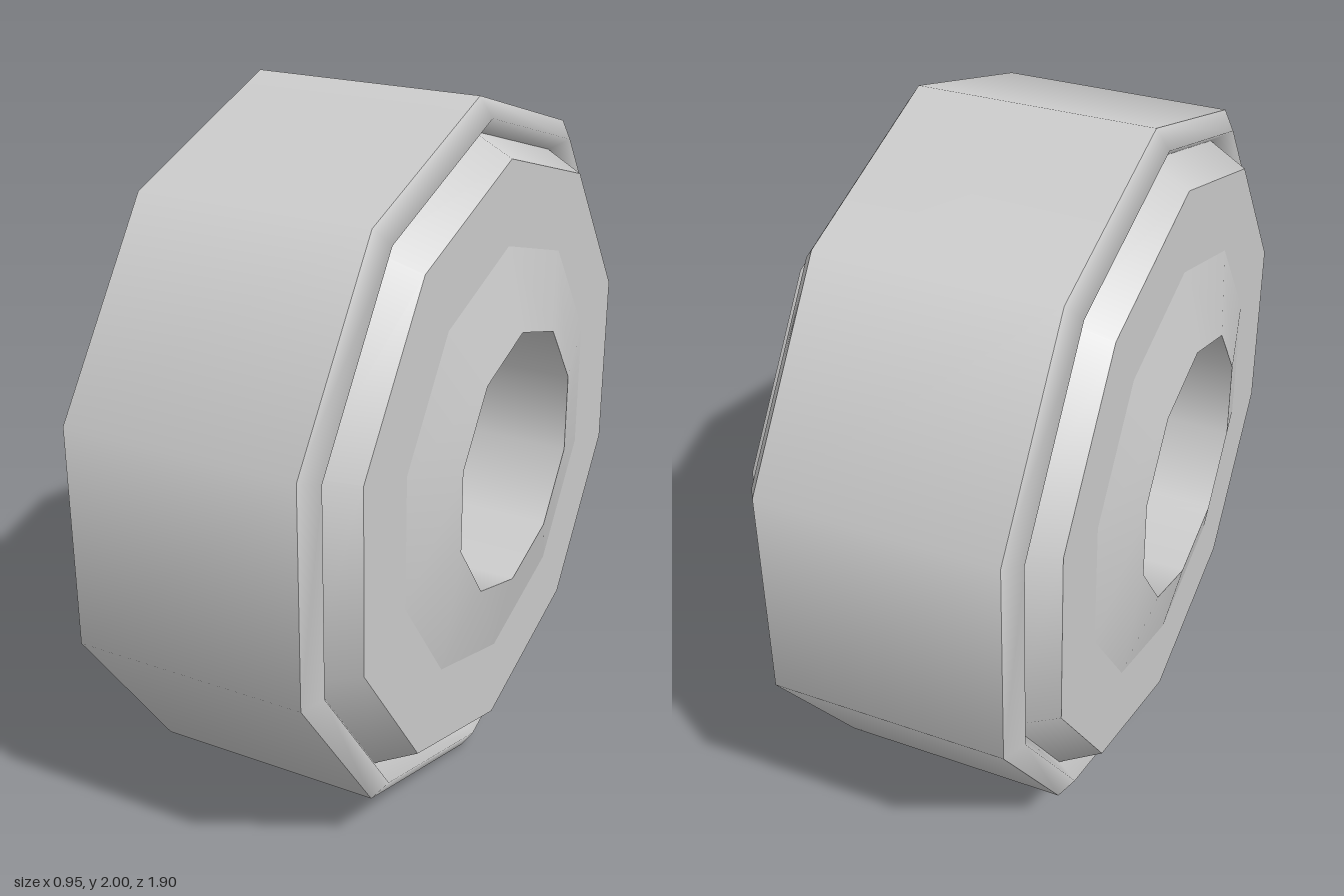
import * as THREE from 'three';

const SIDES = 10;
const grey = new THREE.MeshStandardMaterial({ color: 0xcccccc });
grey.name = 'light grey';

// Turns a profile of [x, radius] points around the x axis, with a corner at the top.
function ring(name, profile) {
  const points = profile.map(([x, r]) => new THREE.Vector2(r, x));
  const geometry = new THREE.LatheGeometry(points, SIDES, Math.PI / 2);
  geometry.rotateZ(-Math.PI / 2);
  const mesh = new THREE.Mesh(geometry, grey);
  mesh.name = name;
  return mesh;
}

export function createModel() {
  const wheel = new THREE.Group();
  wheel.name = 'wheel';

  // Outer tread and central axle hole
  wheel.add(ring('tread', [[-0.33, 1], [0.33, 1]]));
  wheel.add(ring('bore', [[0.475, 0.378], [-0.475, 0.378]]));

  // Side bands, from the rim inwards; each band is smooth and its ends are sharp
  const bands = {
    Rim: [[0.33, 1], [0.367, 0.945], [0.31, 0.907]],
    HubBevel: [[0.31, 0.907], [0.425, 0.847]],
    HubFace: [[0.425, 0.847], [0.425, 0.612]],
    HubCone: [[0.425, 0.612], [0.475, 0.378]],
  };
  for (const [name, profile] of Object.entries(bands)) {
    const mirrored = profile.map(([x, r]) => [-x, r]).reverse();
    wheel.add(ring('left' + name, profile), ring('right' + name, mirrored));
  }

  wheel.position.y = 1;
  const model = new THREE.Group();
  model.add(wheel);
  return model;
}
